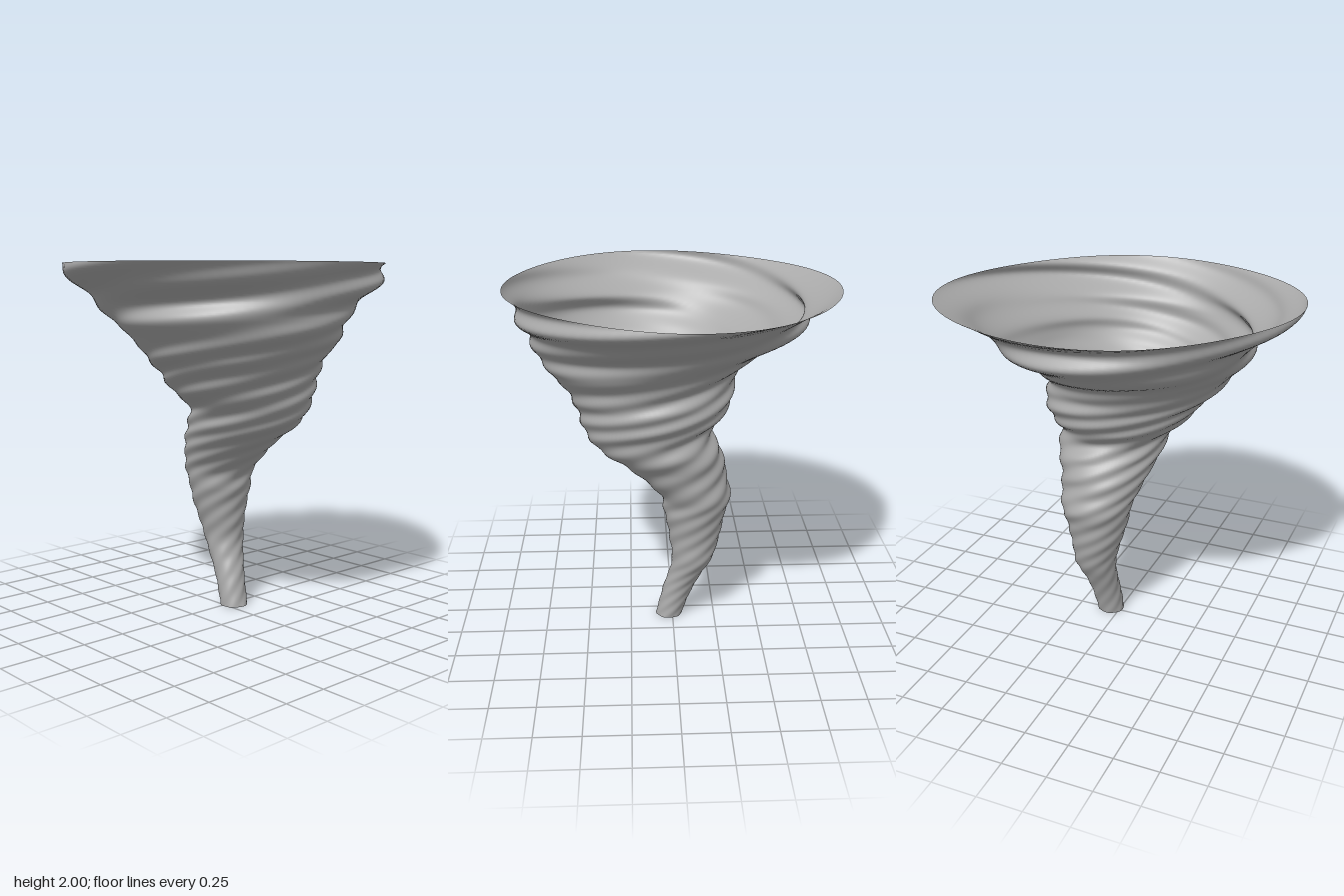
import * as THREE from 'three';

// Extents of the funnel every 0.1 in height, from y = 0 to y = 2:
// [min x, max x, min z, max z]
const SECTIONS = [
  [-0.06, 0.10, -0.14, 0.02],
  [-0.09, 0.075, -0.15, 0.018],
  [-0.13, 0.05, -0.165, 0.015],
  [-0.18, 0.02, -0.19, 0.015],
  [-0.235, 0.005, -0.22, 0.02],
  [-0.265, 0.015, -0.23, 0.045],
  [-0.29, 0.03, -0.245, 0.075],
  [-0.31, 0.055, -0.265, 0.1],
  [-0.335, 0.07, -0.29, 0.125],
  [-0.315, 0.16, -0.31, 0.16],
  [-0.305, 0.285, -0.33, 0.195],
  [-0.265, 0.42, -0.38, 0.235],
  [-0.225, 0.495, -0.395, 0.265],
  [-0.305, 0.54, -0.44, 0.37],
  [-0.345, 0.58, -0.465, 0.455],
  [-0.365, 0.655, -0.47, 0.56],
  [-0.445, 0.75, -0.53, 0.63],
  [-0.6, 0.795, -0.6, 0.725],
  [-0.735, 0.815, -0.72, 0.76],
  [-0.78, 0.89, -0.85, 0.88],
  [-0.93, 0.93, -0.98, 0.98],
];
const HEIGHT = 2, ROWS = 240, SIDES = 96;
const PITCH = 0.1;     // rise of a spiral ridge per radian

const centres = new THREE.CatmullRomCurve3(
  SECTIONS.map(([l, r, b, f]) => new THREE.Vector3((l + r) / 2, 0, (b + f) / 2)),
  false, 'catmullrom', 0.5);
const radii = new THREE.CatmullRomCurve3(
  SECTIONS.map(([l, r, b, f]) => new THREE.Vector3((r - l) / 2, 0, (f - b) / 2)),
  false, 'catmullrom', 0.5);

// Relative radius: fine spiral ridges low down, broader ones near the rim,
// both riding on a two-armed spiral that widens the rim
function swirl(angle, y) {
  const phase = angle - Math.PI / 2 - (y - 1.66) / PITCH;
  const fine = 0.022 * Math.cos(6 * phase);
  const broad = 0.02 * Math.cos(4 * phase);
  const arms = Math.cos(2 * phase + 2.26);
  const top = THREE.MathUtils.smoothstep(y, 1.3, 1.8);
  const rim = THREE.MathUtils.smoothstep(y, 1.7, 2);
  return 0.985 + THREE.MathUtils.lerp(fine, broad, top) + (0.01 + 0.025 * rim) * arms;
}

function createFunnelGeometry() {
  const positions = [], index = [];
  for (let i = 0; i <= ROWS; i++) {
    const t = i / ROWS, y = t * HEIGHT;
    const c = centres.getPoint(t), r = radii.getPoint(t);
    for (let j = 0; j < SIDES; j++) {
      const angle = (j / SIDES) * Math.PI * 2;
      const scale = swirl(angle, y);
      positions.push(
        c.x + Math.sin(angle) * r.x * scale,
        y,
        c.z + Math.cos(angle) * r.z * scale);
      if (i < ROWS) {
        const a = i * SIDES + j, b = i * SIDES + (j + 1) % SIDES;
        index.push(a, b, a + SIDES, b, b + SIDES, a + SIDES);
      }
    }
  }
  const geometry = new THREE.BufferGeometry();
  geometry.setAttribute('position', new THREE.Float32BufferAttribute(positions, 3));
  geometry.setIndex(index);
  geometry.computeVertexNormals();
  return geometry;
}

export function createModel() {
  const group = new THREE.Group();
  group.name = 'tornado';
  // Open, thin funnel wall
  const funnel = new THREE.Mesh(
    createFunnelGeometry(),
    new THREE.MeshStandardMaterial({ color: 0xaaaaaa, side: THREE.DoubleSide }));
  funnel.name = 'funnel';
  group.add(funnel);
  return group;
}
